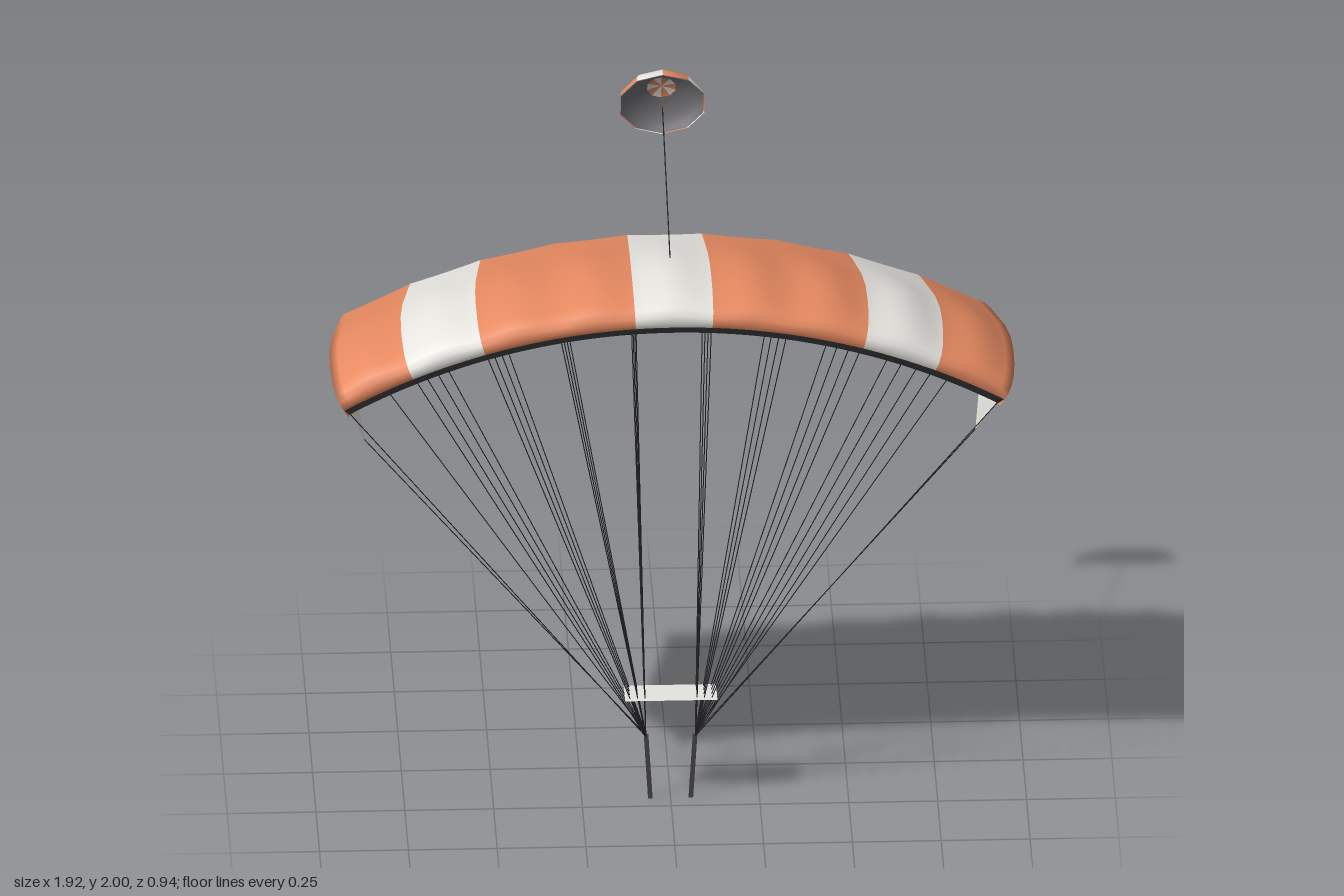
import * as THREE from 'three';

const mat = (name, color, side = THREE.FrontSide) => {
  const m = new THREE.MeshStandardMaterial({ color, side });
  m.name = name;
  return m;
};

// Canopy arch: nine equal cells on a circular arc
const RADIUS = 1.84, CENTRE_Y = -0.285, CELLS = 9, STEP = 0.114, SPAN = 8;
const TIP = STEP * CELLS / 2;

// Cell section as [z, height above the lower skin]
const UPPER = [[0.462, 0.052], [0.468, 0.066], [0.464, 0.082], [0.45, 0.097], [0.42, 0.11], [0.36, 0.119],
  [0.28, 0.121], [0.18, 0.114], [0.06, 0.09], [-0.08, 0.049], [-0.16, 0.026], [-0.24, 0]];
const LOWER = [[-0.24, 0], [-0.08, 0], [0.1, 0], [0.25, 0], [0.36, 0.006], [0.43, 0.02]];
const INTAKE = [[0.43, 0.02], [0.462, 0.052]];

// Point on the arch; u runs from -1 to 1 across a cell, with ribs at both ends
function archPoint(angle, z, h, u = 1) {
  const tail = Math.max(0, -z / 0.24), scallop = 1 - u * u;
  const puff = Math.cos(u * Math.PI / 2) ** 2 * Math.max(0, (h - 0.052) / 0.066);
  const r = RADIUS + h + 0.012 * puff + 0.005 * scallop * tail;
  return new THREE.Vector3(Math.sin(angle) * r, CENTRE_Y + Math.cos(angle) * r, z + 0.02 * scallop * tail);
}

function geometryFrom(points, index) {
  const g = new THREE.BufferGeometry().setFromPoints(points);
  g.setIndex(index);
  g.computeVertexNormals();
  return g;
}

// Lower skin height, used to close the tips
function floorHeight(z, h) {
  return Math.min(h, z > 0.25 ? 0.02 * ((z - 0.25) / 0.18) ** 2 : 0);
}

// Sweeps a section over the whole span; material 1 goes on every third cell.
// Closed ends fold the section down to the lower skin.
function spanSkin(section, closeEnds) {
  const columns = [];
  for (let k = 0; k <= CELLS * SPAN; k++) {
    const angle = -TIP + k * STEP / SPAN;
    const u = (k % SPAN) / SPAN * 2 - 1;
    columns.push(section.map(([z, h]) => archPoint(angle, z, h, u)));
  }
  if (closeEnds) {
    const end = (side) => section.map(([z, h]) => archPoint(side * TIP, Math.min(z, 0.462), floorHeight(z, h)));
    columns.unshift(end(-1));
    columns.push(end(1));
  }
  const n = section.length, index = [];
  for (let c = 0; c < columns.length - 1; c++) {
    for (let i = 0; i < n - 1; i++) {
      const a = c * n + i, b = a + n;
      index.push(a, b, a + 1, b, b + 1, a + 1);
    }
  }
  const g = geometryFrom(columns.flat(), index);
  const perColumn = (n - 1) * 6, extra = closeEnds ? 1 : 0;
  for (let c = 0; c < columns.length - 1; c++) {
    const cell = Math.floor((c - extra) / SPAN);
    g.addGroup(c * perColumn, perColumn, cell % 3 === 1 ? 1 : 0);
  }
  return g;
}

// Thin cord between two points
function cord(a, b, radius) {
  const d = new THREE.Vector3().subVectors(b, a);
  const g = new THREE.CylinderGeometry(radius, radius, d.length(), 5);
  g.applyQuaternion(new THREE.Quaternion().setFromUnitVectors(new THREE.Vector3(0, 1, 0), d.normalize()));
  const mid = a.clone().add(b).multiplyScalar(0.5);
  return g.translate(mid.x, mid.y, mid.z);
}

export function createModel() {
  const model = new THREE.Group();
  model.name = 'ramAirParachute';
  const orange = mat('orange fabric', 0xe78a61, THREE.DoubleSide);
  const white = mat('white fabric', 0xe9e7e2, THREE.DoubleSide);
  const dark = mat('dark intake', 0x464648, THREE.DoubleSide);
  const lining = mat('grey lining', 0x747276, THREE.DoubleSide);
  const black = mat('black cord', 0x242426);

  const add = (parent, name, geometry, material) => {
    const mesh = new THREE.Mesh(geometry, material);
    mesh.name = name;
    parent.add(mesh);
  };
  const group = (name) => {
    const g = new THREE.Group();
    g.name = name;
    model.add(g);
    return g;
  };

  // Canopy skins, with white stripes in the middle and near each end
  const canopy = group('canopy');
  add(canopy, 'upperSkin', spanSkin(UPPER, true), [orange, white]);
  add(canopy, 'lowerSkin', spanSkin(LOWER, false), [orange, white]);
  add(canopy, 'cellIntakes', spanSkin(INTAKE, false), [dark, dark]);

  const lines = group('suspensionLines');
  const rows = [[0.42, 0.018], [0.26, 0], [0.08, 0], [-0.11, 0]];
  for (const s of [-1, 1]) {
    // Triangular stabilizer below the tip
    const apex = new THREE.Vector3(s * 0.86, 1.12, 0.155);
    add(canopy, 'stabilizer', geometryFrom(
      [archPoint(s * TIP, 0.41, 0.012), archPoint(s * TIP, -0.2, 0), apex],
      s > 0 ? [0, 2, 1] : [0, 1, 2]), white);

    // Lines from every rib down to the riser
    for (let rib = 0; rib < 5; rib++) {
      rows.forEach(([z, h], r) => {
        if (rib === 4 && (r === 1 || r === 2)) return;
        const top = archPoint(s * (rib + 0.5) * STEP, z, h);
        const foot = new THREE.Vector3(s * 0.07, 0.2, 0.212 - r * 0.008);
        add(lines, 'line', cord(foot, top, 0.0015), black);
      });
    }
    add(lines, 'stabilizerLine', cord(new THREE.Vector3(s * 0.07, 0.2, 0.2), apex, 0.0015), black);

    // Riser strap
    const strap = new THREE.BoxGeometry(0.013, 0.2, 0.004);
    strap.rotateZ(-s * 0.06).translate(s * 0.063, 0.1, 0.2);
    add(model, 'riser', strap, dark);
  }

  // Slider sheet between the lines
  const sheet = new THREE.PlaneGeometry(0.26, 0.1).rotateX(-Math.PI / 2).translate(0, 0.33, 0.2);
  add(model, 'slider', sheet, white);

  // Pilot chute: ten gores, a partial grey lining and its bridle
  const pilot = group('pilotChute');
  pilot.position.set(0, 1.884, -0.392);
  pilot.rotation.x = -1.19;
  const dome = (scale, from, to) => Array.from({ length: 9 }, (_, i) => {
    const a = from + (to - from) * i / 8;
    return new THREE.Vector2(Math.cos(a) * 0.125 * scale, Math.sin(a) * 0.07 * scale);
  });
  const gore = Math.PI / 5;
  for (let i = 0; i < 10; i++) {
    add(pilot, 'gore', new THREE.LatheGeometry(dome(1, 0, Math.PI / 2), 1, i * gore, gore), i % 2 ? white : orange);
  }
  add(pilot, 'lining', new THREE.LatheGeometry(dome(0.975, 0, 1.22), 10), lining);
  add(model, 'bridle', cord(new THREE.Vector3(0, 1.675, 0.16), new THREE.Vector3(0, 1.88, -0.38), 0.0018), black);

  return model;
}
